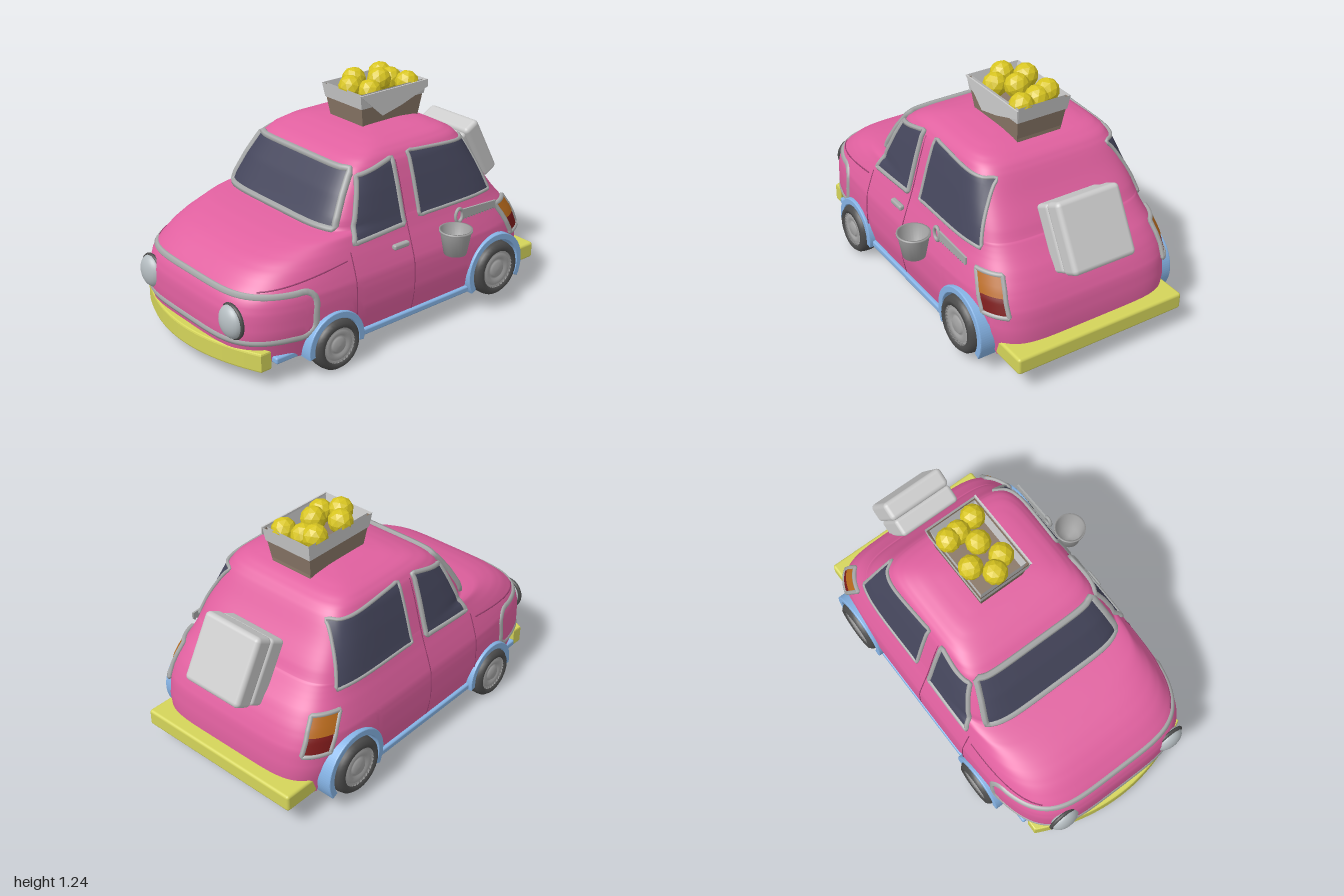
import * as THREE from 'three';
import { mergeVertices } from 'three/addons/utils/BufferGeometryUtils.js';
import { RoundedBoxGeometry } from 'three/addons/geometries/RoundedBoxGeometry.js';

const mat = (color, flatShading = false) =>
  new THREE.MeshStandardMaterial({ color, flatShading, side: THREE.DoubleSide });
const PINK = mat(0xe0609f), SEAM = mat(0x9c3f70), GLASS = mat(0x45465c), TRIM = mat(0xa8aaaa),
  BLUE = mat(0x86b4e6), YELLOW = mat(0xd4d45a), TYRE = mat(0x4c4c4c), HUB = mat(0xa4a4a4), GREY = mat(0xcccccc),
  ORANGE = mat(0xb86a1c), RED = mat(0x7c1a1a), CRATE = mat(0x8a7868), CLOTH = mat(0xdadeda),
  LEMON = mat(0xd8c520, true), LAMP = mat(0xb4bcc0);
const V = (x, y, z) => new THREE.Vector3(x, y, z);
const lerp = THREE.MathUtils.lerp, clamp = THREE.MathUtils.clamp;

// Hull outline by height: y, nose x, tail x, half width
const HULL = [
  [.11, -.95, .915, .53], [.25, -.97, .915, .56], [.36, -.965, .9, .56], [.42, -.945, .875, .555],
  [.47, -.91, .85, .54], [.53, -.84, .81, .52], [.57, -.77, .775, .505], [.6, -.69, .75, .495],
  [.625, -.59, .73, .487], [.637, -.5, .72, .483], [.645, -.42, .71, .48], [.7, -.385, .68, .465],
  [.8, -.325, .61, .437], [.9, -.25, .55, .405], [.94, -.19, .515, .38], [.97, -.11, .46, .34],
  [.99, -.03, .39, .27], [1, .06, .3, .17], [1.004, .17, .19, .01]];
// Wheels: x, y, tyre radius, arch radius
const WHEELS = [[-.485, .135, .135, .155], [.6, .195, .15, .18]];

function ring(y) {
  let i = 0;
  while (i < HULL.length - 2 && HULL[i + 1][0] < y) i++;
  const a = HULL[i], b = HULL[i + 1], t = clamp((y - a[0]) / (b[0] - a[0]), 0, 1);
  const f = lerp(a[1], b[1], t), r = lerp(a[2], b[2], t);
  return { cx: (f + r) / 2, a: (r - f) / 2, w: lerp(a[3], b[3], t), nose: clamp(4.5 + (y - .6) * 25, 4.5, 7) };
}

// Point on the hull: p runs round the plan, 0 = nose, 1 = nose corner, 3 = tail corner, 4 = tail
function hull(p, y, off = 0) {
  const q = Math.abs(p), u = clamp(q - 2, -1, 1);
  const v = Math.sign(p) * (q > 3 ? 4 - q : Math.min(1, q));
  const r = ring(y), n = u < 0 ? r.nose : 6;
  const k = Math.pow(Math.abs(u) ** n + Math.abs(v) ** n, -1 / n);
  return V(r.cx + (r.a + off) * u * k, y, (r.w + off) * v * k);
}

// Point on the flank at a given x and y
function flank(x, y, s, off = 0) {
  const r = ring(y), t = clamp((x - r.cx) / r.a, -1, 1), n = t < 0 ? r.nose : 6;
  return V(x, y, s * (r.w * Math.pow(1 - Math.abs(t) ** n, 1 / n) + off));
}

function grid(fn, nu, nv) {
  const pos = [], idx = [];
  for (let j = 0; j <= nv; j++) for (let i = 0; i <= nu; i++) pos.push(...fn(i / nu, j / nv).toArray());
  for (let j = 0; j < nv; j++) for (let i = 0; i < nu; i++) {
    const a = j * (nu + 1) + i, c = a + nu + 1;
    idx.push(a, a + 1, c, a + 1, c + 1, c);
  }
  let g = new THREE.BufferGeometry();
  g.setAttribute('position', new THREE.Float32BufferAttribute(pos, 3));
  g.setIndex(idx);
  g = mergeVertices(g, 1e-5);
  g.computeVertexNormals();
  return g;
}

function add(parent, name, geo, material, x = 0, y = 0, z = 0) {
  const m = new THREE.Mesh(geo, material);
  m.name = name;
  m.position.set(x, y, z);
  parent.add(m);
  return m;
}

const tube = (pts, r, closed = false) =>
  new THREE.TubeGeometry(new THREE.CatmullRomCurve3(pts, closed, 'centripetal'), pts.length * 2, r, 6, closed);

// Four corners (bottom left, bottom right, top right, top left) blended into a patch on the hull
const quad = (c, u, v) => [0, 1].map(k => lerp(lerp(c[0][k], c[1][k], u), lerp(c[3][k], c[2][k], u), v));
function panel(parent, name, c, place, glass, r = .013) {
  add(parent, name, grid((u, v) => place(...quad(c, u, v), .008), 24, 20), glass);
  const edge = [], N = 12;
  for (let k = 0; k < 4; k++) for (let i = 0; i < N; i++) {
    const t = i / N;
    edge.push(place(...quad(c, ...[[t, 0], [1, t], [1 - t, 1], [0, 1 - t]][k]), .006));
  }
  add(parent, name + 'Frame', tube(edge, r, true), TRIM);
}

function body(car) {
  const ys = [];
  for (let i = 0; i < HULL.length - 1; i++) for (let k = 0; k < 3; k++) ys.push(lerp(HULL[i][0], HULL[i + 1][0], k / 3));
  ys.push(1.004);
  // lower rows are lifted over the wheel arches
  add(car, 'bodyShell', grid((u, v) => {
    const p = u === 1 ? -4 : u * 8 - 4, y = ys[Math.round(v * (ys.length - 1))];
    if (y >= .45) return hull(p, y);
    const x = hull(p, y).x;
    let y0 = .11;
    if (Math.abs(p) > 1 && Math.abs(p) < 3) for (const [wx, wy, , r] of WHEELS)
      if (Math.abs(x - wx) < r) y0 = Math.max(y0, wy + Math.sqrt(r * r - (x - wx) ** 2));
    return hull(p, y0 + (y - .11) * (.45 - y0) / .34);
  }, 320, ys.length - 1), PINK);

  panel(car, 'windscreen', [[-.93, .655], [.93, .655], [.93, .905], [-.93, .905]], hull, GLASS, .018);
  for (const s of [-1, 1]) {
    const side = (x, y, o) => flank(x, y, s, o), corner = (p, y, o) => hull(s * p, y, o);
    panel(car, 'doorWindow', [[-.32, .59], [0, .605], [0, .925], [-.215, .88]], side, GLASS);
    panel(car, 'rearSideWindow', [[.11, .62], [.625, .615], [.535, .9], [.11, .93]], side, GLASS, .01);
    panel(car, 'tailLight', [[2.88, .35], [3.15, .35], [3.12, .53], [2.83, .53]], corner, RED);
    add(car, 'indicator', grid((u, v) => corner(...quad([[2.855, .44], [3.135, .44], [3.12, .53], [2.83, .53]], u, v), .012), 12, 6), ORANGE);
    // door and bonnet seams
    for (const x of [-.35, .025])
      add(car, 'doorSeam', tube(Array.from({ length: 12 }, (_, i) => flank(x, .14 + i * (x < 0 ? .038 : .07), s)), .003), SEAM);
    add(car, 'bonnetSeam', tube(Array.from({ length: 12 }, (_, i) => flank(lerp(-.84, -.38, i / 11), lerp(.47, .525, i / 11), s)), .004), SEAM);
    // headlight
    const lamp = add(car, 'headlight', new THREE.SphereGeometry(.085, 24, 16), LAMP, -.94, .325, s * .345);
    lamp.scale.set(.55, 1, .95);
    const rim = add(car, 'headlightRim', new THREE.TorusGeometry(.083, .01, 8, 28), TYRE, -.935, .325, s * .345);
    rim.rotation.y = Math.PI / 2;
  }
  // grille band looping round the nose
  const loop = [];
  for (let i = 0; i <= 30; i++) loop.push(hull(lerp(-1.3, 1.3, i / 30), .445, -.01));
  loop.push(hull(1.37, .41, -.01), hull(1.38, .33, -.01), hull(1.37, .26, -.01));
  for (let i = 0; i <= 30; i++) loop.push(hull(lerp(1.3, -1.3, i / 30), .225, -.01));
  loop.push(hull(-1.37, .26, -.01), hull(-1.38, .33, -.01), hull(-1.37, .41, -.01));
  add(car, 'grilleBand', tube(loop, .021, true), TRIM);
  add(car, 'doorHandle', new RoundedBoxGeometry(.1, .028, .03, 2, .01), TRIM, -.05, .515, flank(-.05, .515, 1).z + .01);
}

function wheelsAndSills(car) {
  const P = (...a) => a.map(([x, y]) => new THREE.Vector2(x, y));
  for (const s of [-1, 1]) {
    for (const [x, y, r, ar] of WHEELS) {
      const wheel = new THREE.Group();
      wheel.name = 'wheel';
      wheel.position.set(x, y, s * .54);
      wheel.rotation.x = s * Math.PI / 2;
      car.add(wheel);
      add(wheel, 'tyre', new THREE.LatheGeometry(P([r * .5, -.055], [r * .85, -.055], [r * .97, -.04], [r, -.015], [r, .015],
        [r * .97, .038], [r * .86, .055], [r * .7, .052], [r * .66, .035]), 36), TYRE);
      add(wheel, 'hub', new THREE.LatheGeometry(P([0, .052], [r * .26, .05], [r * .3, .04], [r * .38, .038], [r * .42, .046],
        [r * .58, .046], [r * .64, .036], [r * .7, .05], [r * .71, .02]), 30), HUB);
      add(wheel, 'innerDisc', new THREE.CylinderGeometry(r * .55, r * .55, .02, 24), TYRE, 0, -.045, 0);
      // arch trim
      const a = -Math.asin(Math.min(.9, (y - .11) / ar)), arch = new THREE.Shape();
      arch.absarc(0, 0, ar + .012, a, Math.PI - a, false);
      arch.absarc(0, 0, ar - .016, Math.PI - a, a, true);
      add(car, 'wheelArch', new THREE.ExtrudeGeometry(arch, { depth: .12, bevelEnabled: true, bevelSize: .004, bevelThickness: .006, bevelSegments: 2, curveSegments: 32 }),
        BLUE, x, y, s > 0 ? .448 : -.568);
    }
    for (const [x0, x1, z] of [[-.33, .42, .52], [-.8, -.64, .47]])
      add(car, 'sill', new RoundedBoxGeometry(x1 - x0, .035, .07, 2, .01), BLUE, (x0 + x1) / 2, .125, s * z);
  }
}

function bumpers(car) {
  // curved front bumper, drawn in plan and raised
  const plan = new THREE.Shape(), arc = (z, d) => -.99 + d + .12 * (z / .485) ** 2;
  for (let i = 0; i <= 24; i++) {
    const z = lerp(-.48, .48, i / 24);
    i ? plan.lineTo(arc(z, 0), z) : plan.moveTo(arc(z, 0), z);
  }
  for (let i = 24; i >= 0; i--) plan.lineTo(arc(lerp(-.48, .48, i / 24), .045), lerp(-.48, .48, i / 24));
  const front = add(car, 'frontBumper', new THREE.ExtrudeGeometry(plan, { depth: .08, bevelSize: .008, bevelThickness: .01, bevelSegments: 2 }), YELLOW, 0, .175, 0);
  front.rotation.x = Math.PI / 2;
  add(car, 'rearBumper', new RoundedBoxGeometry(.205, .09, .97, 3, .015), YELLOW, .885, .155, 0);
}

function luggage(group) {
  // two-part case strapped to the tail
  const box = new THREE.Group();
  box.name = 'rearCase';
  box.position.set(.82, .668, -.05);
  box.rotation.z = .5;
  group.add(box);
  add(box, 'caseBase', new RoundedBoxGeometry(.1, .34, .35, 3, .02), GREY, -.05, 0, 0);
  add(box, 'caseLid', new RoundedBoxGeometry(.105, .355, .36, 3, .025), GREY, .05, 0, 0);

  // tapered crate with cloth rim
  const crate = new THREE.Group();
  crate.name = 'roofCrate';
  crate.position.set(.235, .97, -.05);
  group.add(crate);
  const wall = (h0, h1, grow) => grid((u, v) => {
    const k = Math.round(u * 4) % 4, y = lerp(h0, h1, v), e = y / .2;
    return V((k === 0 || k === 3 ? -1 : 1) * (lerp(.185, .22, e) + grow), y, (k < 2 ? 1 : -1) * (lerp(.125, .147, e) + grow));
  }, 4, 1).toNonIndexed();
  for (const [name, h0, h1, grow, m] of [['crateWalls', 0, .19, 0, CRATE], ['clothRim', .125, .2, .005, CLOTH], ['clothLining', .1, .2, -.012, CLOTH]]) {
    const g = wall(h0, h1, grow);
    g.computeVertexNormals();
    add(crate, name, g, m);
  }
  add(crate, 'crateFill', new THREE.BoxGeometry(.38, .1, .25), CRATE, 0, .06, 0);
  // cloth corner hanging over the side
  const flap = new THREE.Shape([[-.228, .2], [-.08, .07], [.05, .1], [.228, .16], [.228, .2]].map(a => new THREE.Vector2(...a)));
  add(crate, 'clothFlap', new THREE.ExtrudeGeometry(flap, { depth: .008, bevelEnabled: false }), CLOTH, 0, 0, .148);
  [[.17, -.14], [.08, -.06], [.14, .02], [.25, -.035], [.35, -.14], [.385, .03], [.36, -.075]].forEach(([x, z], i) => {
    const l = add(group, 'lemon', new THREE.IcosahedronGeometry(.064, 1), LEMON, x, [1.17, 1.165, 1.15, 1.178, 1.165, 1.15, 1.15][i], z);
    l.rotation.set(i * 1.3, i * .8, i * .5);
  });

  // open bucket hung on the flank
  const cup = [[0, 0], [.058, 0], [.08, .12], [.086, .122], [.086, .132], [.076, .132], [.053, .012], [0, .012]];
  add(group, 'bucket', new THREE.LatheGeometry(cup.map(a => new THREE.Vector2(...a)), 28), HUB, .25, .41, .558);

  // saw: toothed blade and looped grip
  const blade = new THREE.Shape();
  blade.moveTo(.36, .59);
  blade.lineTo(.61, .575);
  blade.lineTo(.61, .54);
  for (let i = 0; i < 12; i++) {
    blade.lineTo(.61 - i * .02 - .01, .53);
    blade.lineTo(.61 - i * .02 - .02, .542);
  }
  const opts = { depth: .01, bevelEnabled: false };
  add(group, 'sawBlade', new THREE.ExtrudeGeometry(blade, opts), TRIM, 0, 0, .475);
  const grip = add(group, 'sawGrip', new THREE.TorusGeometry(.03, .009, 8, 20), TRIM, .345, .562, .482);
  grip.scale.set(.8, 1.2, 1);
}

export function createModel() {
  const group = new THREE.Group();
  group.name = 'car';
  const car = new THREE.Group();
  car.name = 'vehicle';
  car.position.z = -.055;
  group.add(car);
  body(car);
  wheelsAndSills(car);
  bumpers(car);
  luggage(group);
  return group;
}
